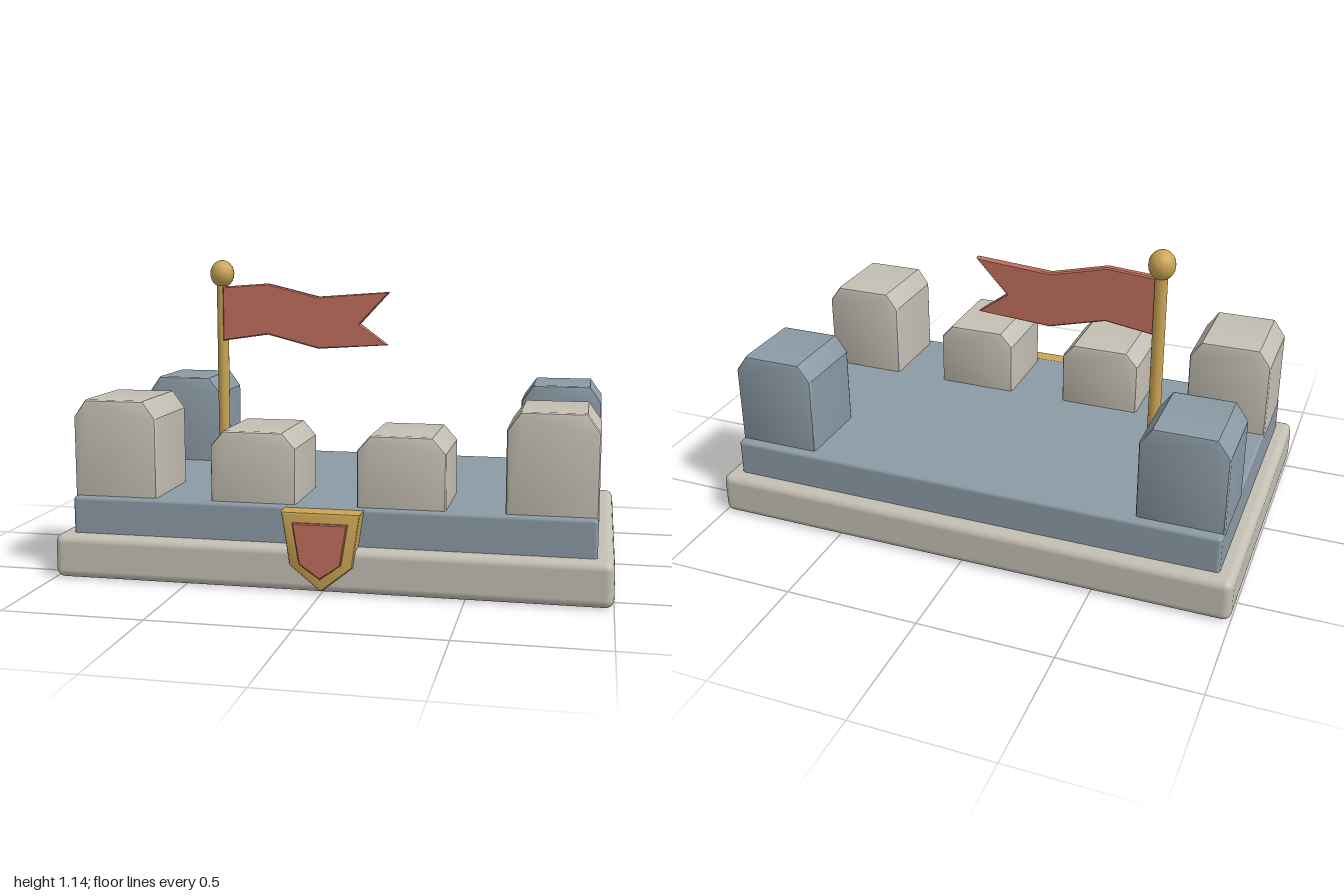
import * as THREE from 'three';
import { toCreasedNormals } from 'three/addons/utils/BufferGeometryUtils.js';
import { RoundedBoxGeometry } from 'three/addons/geometries/RoundedBoxGeometry.js';

function material(name, color) {
  const m = new THREE.MeshStandardMaterial({ color });
  m.name = name;
  return m;
}

// Bevelled plate: the outline lies in x/y and the depth runs from z0 to z1
function plate(points, z0, z1, bevel, segments = 2) {
  const shape = new THREE.Shape(points.map(([x, y]) => new THREE.Vector2(x, y)));
  const geometry = new THREE.ExtrudeGeometry(shape, {
    depth: z1 - z0 - 2 * bevel,
    bevelEnabled: true,
    bevelThickness: bevel,
    bevelSize: bevel,
    bevelOffset: -bevel,
    bevelSegments: segments,
  });
  geometry.translate(0, 0, z0 + bevel);
  return toCreasedNormals(geometry, 0.6);
}

// Block with chamfered upper corners
function merlonGeometry(width, y0, y1, z0, z1, cutX, cutY) {
  const w = width / 2;
  return plate([
    [-w, y0], [w, y0], [w, y1 - cutY], [w - cutX, y1],
    [-w + cutX, y1], [-w, y1 - cutY],
  ], z0, z1, 0.014);
}

// Mirrors the right half of an outline, listed from bottom tip to top
function mirrored(half) {
  const left = half.slice(1).reverse().map(([x, y]) => [-x, y]);
  return [...half, ...left];
}

export function createModel() {
  const model = new THREE.Group();
  model.name = 'castleBattlement';

  const stone = material('paleStone', 0xc4bfb4);
  const slate = material('blueSlate', 0x8b9aa5);
  const gold = material('gold', 0xcba555);
  const red = material('bannerRed', 0xc06f5d);

  const add = (name, geometry, mat, x = 0, y = 0, z = 0) => {
    const mesh = new THREE.Mesh(geometry, mat);
    mesh.name = name;
    mesh.position.set(x, y, z);
    model.add(mesh);
    return mesh;
  };

  // Stepped platform
  add('basePlinth', new RoundedBoxGeometry(2, 0.16, 1.222, 3, 0.03), stone, 0, 0.08, -0.016);
  add('upperDeck', new RoundedBoxGeometry(1.885, 0.165, 1.118, 2, 0.014), slate, 0, 0.2125, -0.014);

  // Corner towers and the lower merlons between them
  const frontCorner = merlonGeometry(0.315, 0.28, 0.648, 0.193, 0.522, 0.046, 0.064);
  const rearCorner = merlonGeometry(0.315, 0.28, 0.648, -0.538, -0.236, 0.046, 0.064);
  const lowMerlon = merlonGeometry(0.315, 0.28, 0.55, 0.193, 0.522, 0.048, 0.055);
  for (const [side, s] of [['left', 1], ['right', -1]]) {
    add(side + 'FrontMerlon', frontCorner, stone, s * 0.786);
    add(side + 'RearMerlon', rearCorner, slate, s * 0.786);
    add(side + 'InnerMerlon', lowMerlon, stone, s * 0.267);
  }

  // Flagpole with its finial
  add('flagpole', new THREE.CylinderGeometry(0.0235, 0.0235, 0.8, 12), gold, -0.588, 0.68, -0.166);
  const finial = add('finial', new THREE.SphereGeometry(0.049, 16, 10), gold, -0.588, 1.086, -0.166);
  finial.scale.y = 1.13;

  // Swallow-tailed flag
  add('flag', plate([
    [-0.58, 0.814], [-0.39, 0.842], [-0.18, 0.788], [0.102, 0.807], [-0.01, 0.89],
    [0.109, 1.018], [-0.18, 0.997], [-0.39, 1.048], [-0.58, 1.034],
  ], -0.169, -0.137, 0.005, 1), red);

  // Shield on the front edge
  add('shieldFrame', plate(mirrored([
    [0, 0.008], [0.112, 0.098], [0.141, 0.29],
  ]), 0.535, 0.613, 0.01), gold);
  add('shieldField', plate(mirrored([
    [0, 0.056], [0.074, 0.108], [0.098, 0.253],
  ]), 0.595, 0.627, 0.004, 1), red);

  return model;
}
